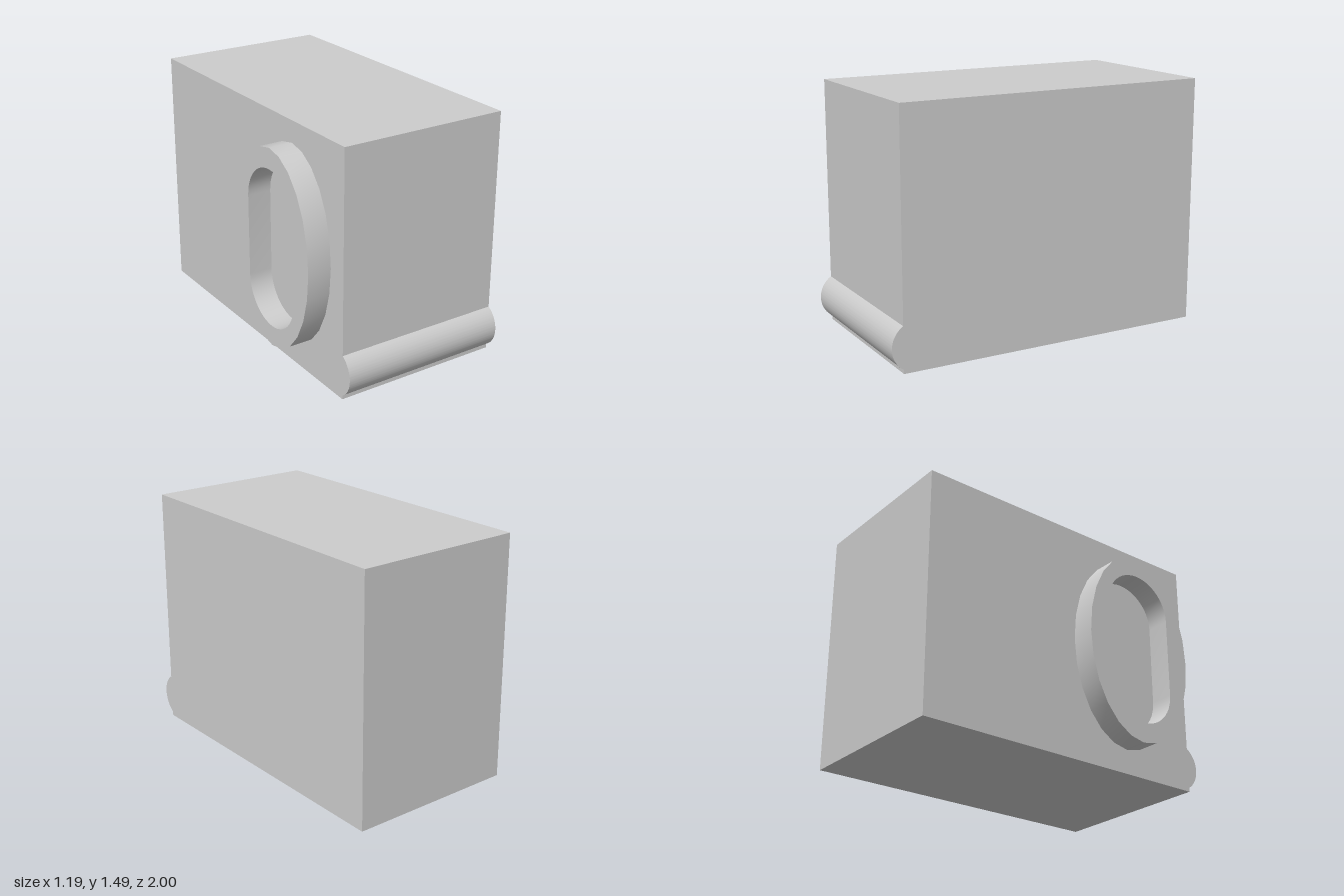
import * as THREE from 'three';
import { toCreasedNormals } from 'three/addons/utils/BufferGeometryUtils.js';

const X0 = -0.45, X1 = 0.595; // side walls of the body
const FRONT = 0.93, BACK = -1, HEIGHT = 1.49;

// Extrudes a shape drawn in (-z, y) along x, from x = from to x = to
function extrudeAlongX(shape, from, to, curveSegments) {
  const geometry = new THREE.ExtrudeGeometry(shape, { depth: to - from, bevelEnabled: false, curveSegments });
  geometry.rotateY(Math.PI / 2);
  geometry.translate(from, 0, 0);
  return toCreasedNormals(geometry, 0.7);
}

export function createModel() {
  const group = new THREE.Group();
  const grey = new THREE.MeshStandardMaterial({ color: 0xcccccc });
  grey.name = 'light grey';

  function add(name, geometry) {
    const mesh = new THREE.Mesh(geometry, grey);
    mesh.name = name;
    group.add(mesh);
    return mesh;
  }

  // Main box
  const body = add('body', new THREE.BoxGeometry(X1 - X0, HEIGHT, FRONT - BACK));
  body.position.set((X0 + X1) / 2, HEIGHT / 2, (FRONT + BACK) / 2);

  // Rounded bar along the lower front edge: the part of a cylinder outside the box
  const radius = 0.147, barZ = 1 - radius, barY = 0.15;
  const half = Math.acos((FRONT - barZ) / radius);
  const bar = new THREE.Shape();
  bar.absarc(-barZ, barY, radius, Math.PI - half, Math.PI + half, false);
  bar.closePath();
  add('frontBar', extrudeAlongX(bar, X0, X1, 24));

  // Oval ring on the side wall, with a slot-shaped opening
  const ringZ = 0.425, ringY = 0.755;
  const ring = new THREE.Shape();
  ring.absellipse(-ringZ, ringY, 0.385, 0.605, 0, Math.PI * 2, false);
  const slotRadius = 0.235, slotOffset = 0.245;
  const slot = new THREE.Path();
  slot.absarc(-ringZ, ringY + slotOffset, slotRadius, 0, Math.PI, false);
  slot.absarc(-ringZ, ringY - slotOffset, slotRadius, Math.PI, Math.PI * 2, false);
  slot.closePath();
  ring.holes.push(slot);
  add('sideRing', extrudeAlongX(ring, -0.595, X0, 12));

  return group;
}
